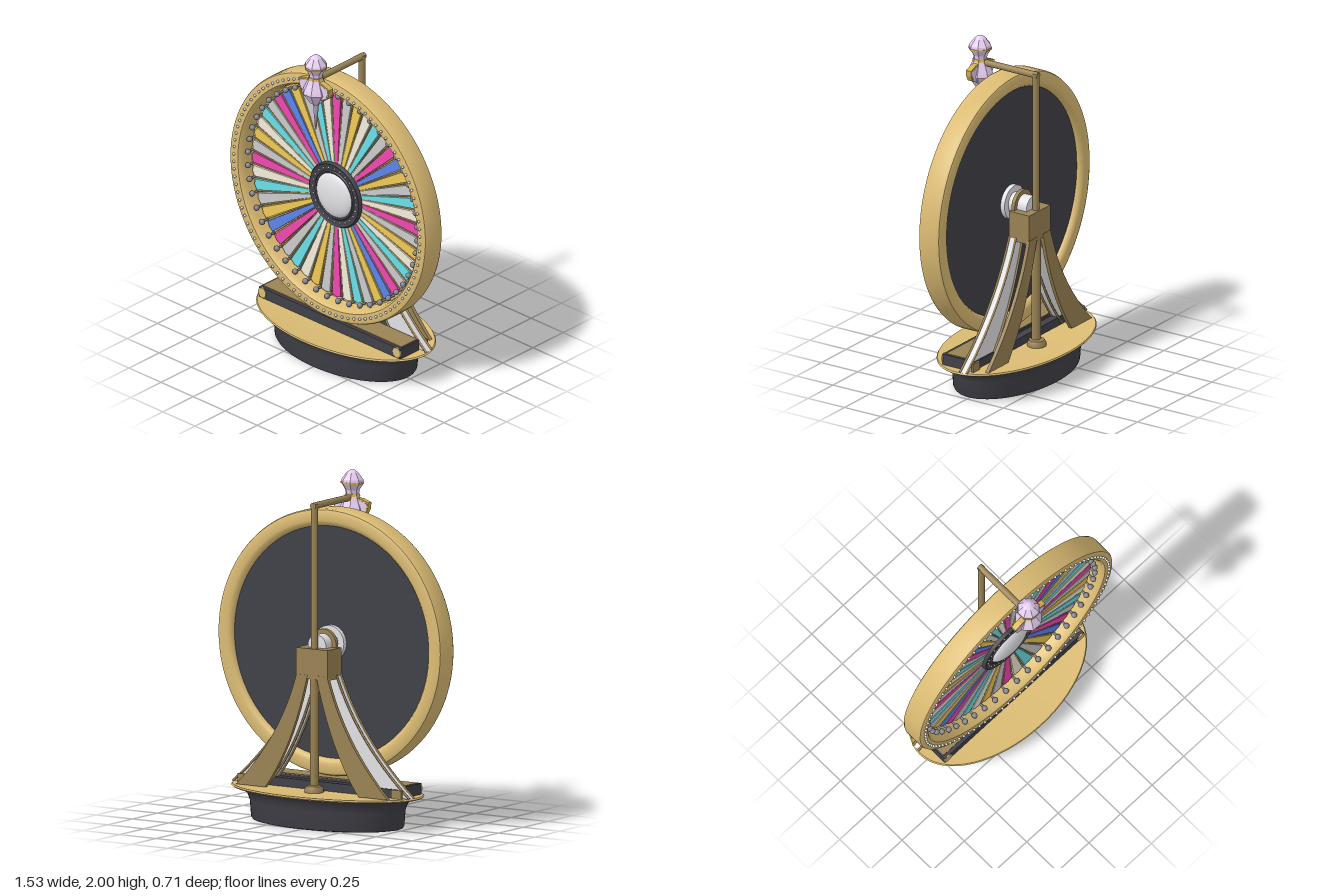
import * as THREE from 'three';
import { toCreasedNormals } from 'three/addons/utils/BufferGeometryUtils.js';

const mat = (color, flat = false) => new THREE.MeshStandardMaterial({ color, flatShading: flat, side: THREE.DoubleSide });
const gold = mat(0xdcbc74), bronze = mat(0x9a8354), dark = mat(0x404048), silver = mat(0xe2e2e6), steel = mat(0x84848c);
const lilac = mat(0xe6cdf0, true), goldFlat = mat(0xd2b050, true);
const pink = mat(0xf048b0), cyan = mat(0x6ce0e8), yellow = mat(0xf0ca56);
const cream = mat(0xf5eddb), grey = mat(0xc4c4c4), blue = mat(0x5c84ec);

const v2 = (pts) => pts.map(([x, y]) => new THREE.Vector2(x, y));

function add(parent, name, geo, material, x = 0, y = 0, z = 0) {
  const m = new THREE.Mesh(geo, material);
  m.name = name;
  m.position.set(x, y, z);
  parent.add(m);
  return m;
}

const lathe = (pts, seg) => toCreasedNormals(new THREE.LatheGeometry(v2(pts), seg), 0.7);
// Lathe or cylinder whose axis runs along z
const latheZ = (pts, seg) => lathe(pts, seg).rotateX(Math.PI / 2);
const rodZ = (r, len, seg = 32) => new THREE.CylinderGeometry(r, r, len, seg).rotateX(Math.PI / 2);
const slab = (shape, depth) => new THREE.ExtrudeGeometry(shape, { depth, bevelEnabled: false, curveSegments: 16 });

function buildBase(root) {
  const base = new THREE.Group();
  base.name = 'base';
  root.add(base);
  // Oval bowl and its flared tray
  const oval = 0.574;
  add(base, 'bowl', lathe([[0, 0], [0.46, 0], [0.482, 0.004], [0.49, 0.016], [0.498, 0.11], [0.515, 0.15], [0.55, 0.175], [0.6, 0.186]], 64), dark).scale.z = oval;
  add(base, 'tray', lathe([[0.55, 0.178], [0.605, 0.184], [0.617, 0.192], [0.61, 0.2], [0.59, 0.197], [0, 0.197]], 64), gold).scale.z = oval;
  // Low beam under the wheel with a gold top and round end caps
  add(base, 'beam', new THREE.BoxGeometry(1.1, 0.064, 0.155), dark, 0, 0.229, 0.058);
  add(base, 'beamTop', new THREE.BoxGeometry(1.08, 0.006, 0.13), bronze, 0, 0.263, 0.05);
  add(base, 'rearRail', new THREE.BoxGeometry(1.04, 0.05, 0.05), dark, 0, 0.222, -0.045);
  for (const s of [-1, 1]) {
    add(base, 'beamCap', rodZ(0.03, 0.008, 16), gold, s * 0.525, 0.232, 0.136);
    add(base, 'legBracket', new THREE.BoxGeometry(0.07, 0.05, 0.012), bronze, s * 0.525, 0.222, -0.078);
  }
}

// Curved leg outline, mirrored by side s
function legCurves(s, outerEnd, innerEnd) {
  const p = (x, y) => new THREE.Vector2(s * x, y);
  return [
    new THREE.QuadraticBezierCurve(p(0.105, 0.87), p(outerEnd * 0.41, 0.5), p(outerEnd, 0.2)),
    new THREE.QuadraticBezierCurve(p(0.03, 0.87), p(innerEnd * 0.4, 0.45), p(innerEnd, 0.2)),
  ];
}

function buildStand(root) {
  const stand = new THREE.Group();
  stand.name = 'stand';
  root.add(stand);
  for (const s of [-1, 1]) {
    const [outer, inner] = legCurves(s, 0.605, 0.36);
    const outline = (a, b) => new THREE.Shape([...a.getPoints(16), ...b.getPoints(16).reverse()]);
    add(stand, 'frontLeg', slab(outline(outer, inner), 0.036), silver, 0, 0, -0.062);
    // Trim along each leg edge
    for (const c of [outer, inner]) for (const z of [-0.066, -0.022]) {
      const path = new THREE.CatmullRomCurve3(c.getPoints(10).map((p) => new THREE.Vector3(p.x, p.y, z)));
      add(stand, 'legTrim', new THREE.TubeGeometry(path, 20, 0.007, 6), bronze);
    }
    const [o2, i2] = legCurves(s, 0.52, 0.32);
    add(stand, 'backLeg', slab(outline(o2, i2), 0.022), bronze, 0, 0, -0.162);
  }
  // Bearing block, axle and collars
  add(stand, 'bearingBlock', new THREE.BoxGeometry(0.215, 0.175, 0.14), bronze, 0, 0.935, -0.09);
  add(stand, 'axle', rodZ(0.062, 0.17), silver, 0, 1.035, -0.025);
  add(stand, 'axleCollar', rodZ(0.088, 0.022), bronze, 0, 1.035, -0.035);
  add(stand, 'axleFlange', rodZ(0.1, 0.03), silver, 0, 1.035, 0.03);
  // Rear post and overhead arm
  add(stand, 'post', new THREE.CylinderGeometry(0.02, 0.02, 0.9, 16), bronze, 0, 1.402, -0.132);
  add(stand, 'lowerPost', new THREE.CylinderGeometry(0.027, 0.027, 0.76, 16), bronze, 0, 0.57, -0.134);
  add(stand, 'postFoot', lathe([[0.055, 0.195], [0.055, 0.215], [0.045, 0.232], [0.02, 0.238]], 20), bronze, 0, 0, -0.138);
  add(stand, 'arm', rodZ(0.019, 0.4, 16), bronze, 0, 1.842, 0.05);
}

function buildWheel(root) {
  const wheel = new THREE.Group();
  wheel.name = 'wheel';
  wheel.position.y = 1.036;
  root.add(wheel);
  add(wheel, 'rim', latheZ([[0.668, 0.05], [0.668, 0.035], [0.682, 0.016], [0.7, 0.011], [0.745, 0.011], [0.76, 0.017], [0.766, 0.03],
    [0.766, 0.138], [0.76, 0.15], [0.745, 0.155], [0.7, 0.153], [0.69, 0.143], [0.682, 0.11], [0.676, 0.06]], 96), gold);
  add(wheel, 'backDisc', rodZ(0.672, 0.01, 96), dark, 0, 0, 0.047);
  add(wheel, 'faceDisc', rodZ(0.68, 0.012, 96), gold, 0, 0, 0.056);

  // Coloured wedges: a sequence of twelve repeated four times
  const order = [pink, grey, yellow, cream, cyan, grey, pink, blue, yellow, grey, cyan, cream];
  const wedge = slab(new THREE.Shape(v2([[-0.0095, 0.19], [0.0095, 0.19], [0.033, 0.65], [0, 0.66], [-0.033, 0.65]])), 0.02);
  const divider = new THREE.BoxGeometry(0.004, 0.46, 0.02).translate(0, 0.425, 0);
  const ball = new THREE.SphereGeometry(0.017, 12, 8);
  const stem = rodZ(0.007, 0.05, 8);
  const count = 48, step = (Math.PI * 2) / count;
  for (let i = 0; i < count; i++) {
    add(wheel, 'wedge', wedge, order[i % 12], 0, 0, 0.06).rotation.z = -i * step;
    const a = (i + 0.5) * step, x = Math.sin(a) * 0.66, y = Math.cos(a) * 0.66;
    add(wheel, 'divider', divider, gold, 0, 0, 0.068).rotation.z = -a;
    add(wheel, 'peg', ball, steel, x, y, 0.112);
    add(wheel, 'pegStem', stem, steel, x, y, 0.085);
  }
  // Studs around the rim
  const stud = new THREE.SphereGeometry(0.0085, 8, 6);
  for (let i = 0; i < 96; i++) {
    const a = (i + 0.5) * step / 2;
    add(wheel, 'rimStud', stud, silver, Math.sin(a) * 0.726, Math.cos(a) * 0.726, 0.16);
  }
  // Hub ring, studs and polished dome
  add(wheel, 'hubRing', latheZ([[0.201, 0.058], [0.201, 0.09], [0.193, 0.102], [0.184, 0.096], [0.154, 0.096], [0.147, 0.104], [0.137, 0.1], [0.134, 0.06]], 64), dark);
  const hubStud = new THREE.SphereGeometry(0.006, 8, 6);
  for (let i = 0; i < 24; i++) {
    const a = i * step * 2;
    add(wheel, 'hubStud', hubStud, silver, Math.sin(a) * 0.169, Math.cos(a) * 0.169, 0.098);
  }
  add(wheel, 'hubDome', new THREE.SphereGeometry(0.138, 40, 20), silver, 0, 0, 0.092).scale.z = 0.3;
}

function buildPointer(root) {
  const pointer = new THREE.Group();
  pointer.name = 'pointer';
  pointer.position.z = 0.25;
  root.add(pointer);
  // Faceted body ending in a long spike
  const body = [[0, 1.515], [0.004, 1.53], [0.019, 1.685], [0.034, 1.697], [0.079, 1.765], [0.072, 1.785], [0.053, 1.825], [0.038, 1.86],
    [0.042, 1.885], [0.067, 1.925], [0.063, 1.945], [0.034, 1.983], [0.016, 1.997], [0, 2]];
  add(pointer, 'pointerBody', new THREE.LatheGeometry(v2(body), 8).rotateY(Math.PI / 8), lilac);
  add(pointer, 'upperBand', new THREE.CylinderGeometry(0.068, 0.068, 0.011, 8).rotateY(Math.PI / 8), goldFlat, 0, 1.926, 0);
  add(pointer, 'neckBand', new THREE.CylinderGeometry(0.041, 0.046, 0.014, 8).rotateY(Math.PI / 8), goldFlat, 0, 1.856, 0);
  add(pointer, 'spikeTip', new THREE.ConeGeometry(0.008, 0.04, 8).rotateX(Math.PI), goldFlat, 0, 1.535, 0);
  // Side fins with lilac panels
  for (const s of [-1, 1]) {
    const fin = (pts) => new THREE.Shape(v2(pts.map(([x, y]) => [s * x, y])));
    add(pointer, 'fin', slab(fin([[0.02, 1.843], [0.07, 1.838], [0.118, 1.82], [0.116, 1.785], [0.1, 1.755], [0.05, 1.73], [0.02, 1.73]]), 0.034), goldFlat, 0, 0, -0.017);
    add(pointer, 'finPanel', slab(fin([[0.025, 1.833], [0.068, 1.829], [0.11, 1.813], [0.108, 1.787], [0.094, 1.761], [0.05, 1.74], [0.025, 1.74]]), 0.038), lilac, 0, 0, -0.019);
  }
  add(pointer, 'flapper', new THREE.BoxGeometry(0.012, 0.01, 0.1), steel, 0, 1.685, -0.095);
}

export function createModel() {
  const root = new THREE.Group();
  root.name = 'prizeWheel';
  buildBase(root);
  buildStand(root);
  buildWheel(root);
  buildPointer(root);
  return root;
}
